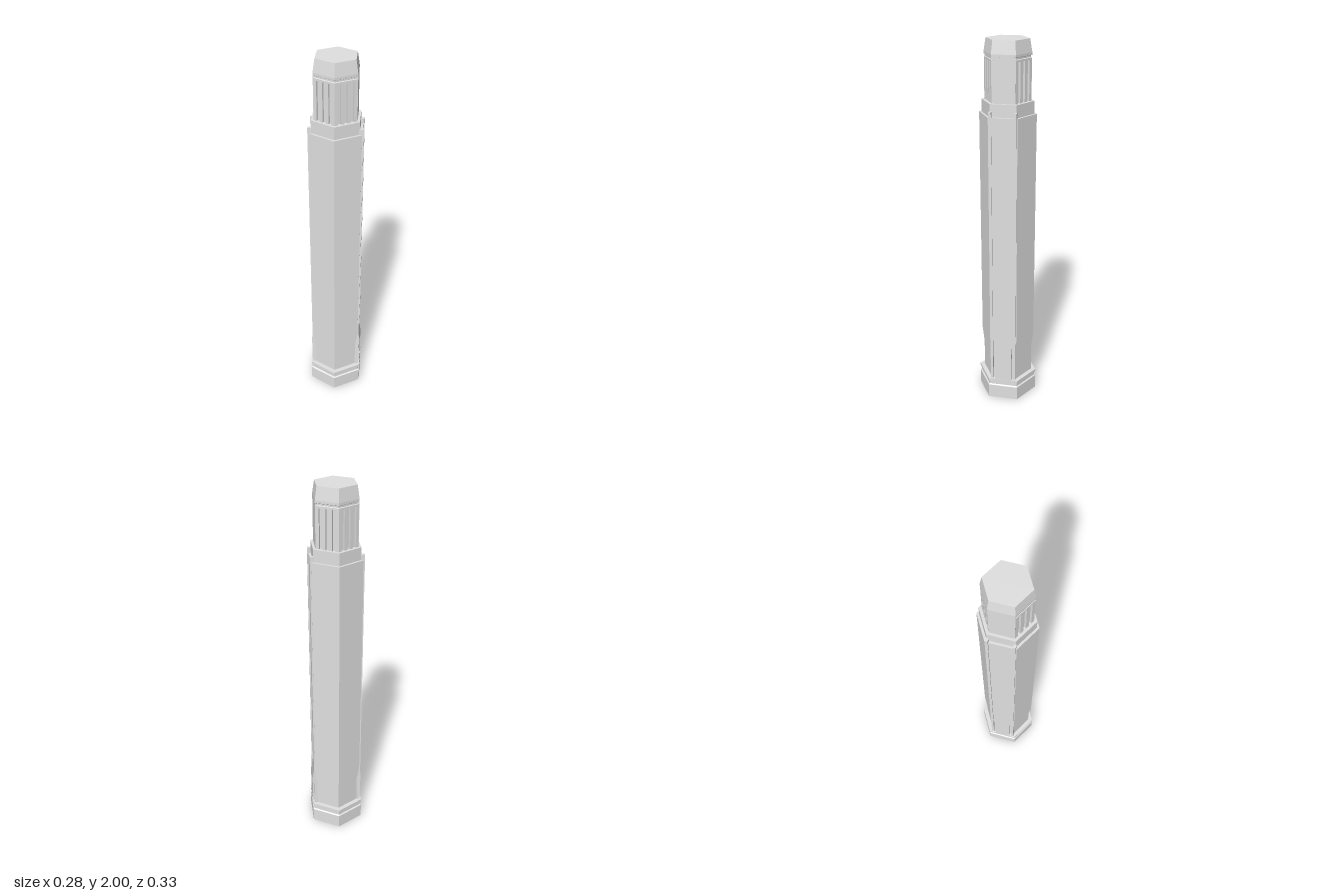
import * as THREE from 'three';

export function createModel() {
  const root = new THREE.Group();
  root.name = 'hexagonalPillar';
  const grey = new THREE.MeshStandardMaterial({ color: 0xe0e0e0 });
  grey.name = 'pale grey';

  const add = (name, geometry, parent = root) => {
    const mesh = new THREE.Mesh(geometry, grey);
    mesh.name = name;
    parent.add(mesh);
    return mesh;
  };
  // Give gently sloped walls level normals so they shade as one long face
  const levelNormals = (geometry) => {
    const normals = geometry.attributes.normal;
    const n = new THREE.Vector3();
    for (let i = 0; i < normals.count; i++) {
      n.fromBufferAttribute(normals, i);
      if (Math.abs(n.y) < 0.3) {
        n.setY(0).normalize();
        normals.setXYZ(i, n.x, n.y, n.z);
      }
    }
    return geometry;
  };
  // Faceted six-sided solid from [corner radius, height] pairs, corners on the z axis
  const hexGeometry = (profile) => {
    const points = profile.map(([r, y]) => new THREE.Vector2(r, y));
    const geometry = new THREE.LatheGeometry(points, 6).toNonIndexed();
    geometry.computeVertexNormals();
    return geometry;
  };
  // Box given by its ranges
  const block = (name, x0, x1, y0, y1, z0, z1, parent) =>
    add(name, new THREE.BoxGeometry(x1 - x0, y1 - y0, z1 - z0), parent)
      .position.set((x0 + x1) / 2, (y0 + y1) / 2, (z0 + z1) / 2);

  // Foot with a groove under its upper ring
  add('foot', hexGeometry([[0, 0], [0.164, 0], [0.164, 0.08], [0.156, 0.085], [0.156, 0.105],
    [0.164, 0.108], [0.164, 0.123], [0, 0.123]]));

  // Shaft, slimmer near the foot
  add('shaft', levelNormals(hexGeometry([[0.1375, 0.12], [0.1375, 0.28], [0.148, 0.37],
    [0.148, 1.635], [0, 1.635]])));
  add('collar', hexGeometry([[0.135, 1.63], [0.135, 1.7], [0, 1.7]]));

  // Neck core, band, notch and tapered cap
  add('neckAndCap', hexGeometry([[0.107, 1.695], [0.107, 1.9], [0.12, 1.9], [0.12, 1.91],
    [0.115, 1.912], [0.115, 1.92], [0.121, 1.923], [0.121, 1.935], [0.11, 2], [0, 2]]));

  // Ribs on the four slanted neck faces
  for (const angle of [30, 150, 210, 330]) {
    const face = new THREE.Group();
    face.name = 'neckRibs';
    face.rotation.y = THREE.MathUtils.degToRad(angle);
    for (let i = 0; i < 4; i++) {
      const x = -0.06 + i * 0.034;
      block('rib', x, x + 0.018, 1.697, 1.902, 0.085, 0.1037, face);
    }
    root.add(face);
  }

  // Both flat sides: neck plate, edge strips and flared lower panel
  for (const turn of [0, Math.PI]) {
    const side = new THREE.Group();
    side.name = 'flatSide';
    side.rotation.y = turn;
    root.add(side);
    block('neckPlate', 0.085, 0.1045, 1.697, 1.935, -0.06, 0.06, side);
    for (const s of [-1, 1]) {
      block('edgeStrip', 0.114, 0.1345, 0.12, 1.663, s * 0.064 - 0.007, s * 0.064 + 0.007, side);
    }
    const outline = new THREE.Shape([[0.11, 0.12], [0.141, 0.12], [0.141, 0.29], [0.127, 0.375], [0.11, 0.375]]
      .map(([x, y]) => new THREE.Vector2(x, y)));
    const panel = new THREE.ExtrudeGeometry(outline, { depth: 0.094, bevelEnabled: false });
    panel.translate(0, 0, -0.047);
    add('flaredPanel', levelNormals(panel), side);
  }
  return root;
}
